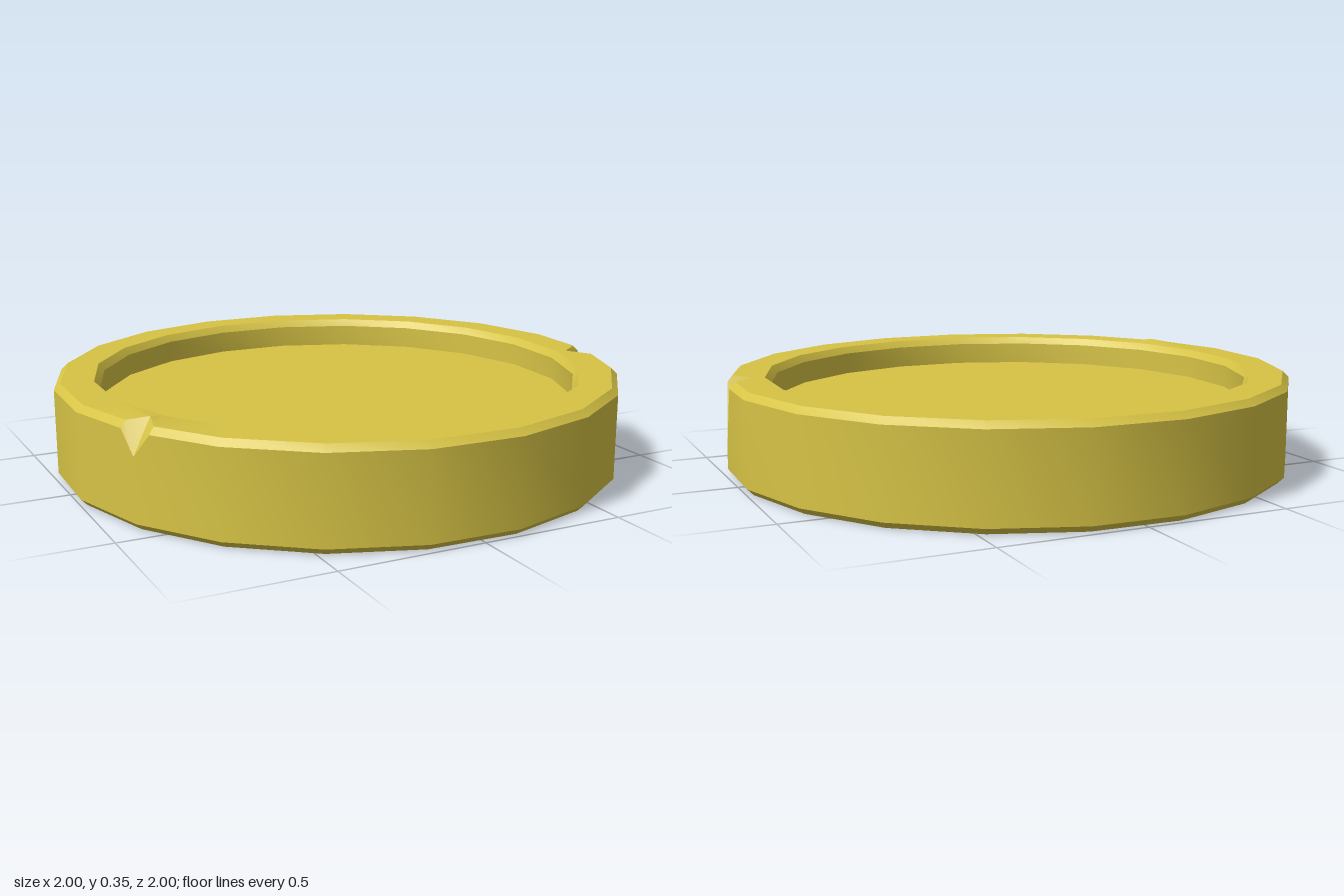
import * as THREE from 'three';
import { toCreasedNormals } from 'three/addons/utils/BufferGeometryUtils.js';

const SIDES = 20;
const START = THREE.MathUtils.degToRad(10.7);

// Cross-section [radius, height], from the bottom centre round the rim to the top centre
const PROFILE = [
  [0, 0.105], [0.85, 0.105], [0.85, 0.025], [0.87, 0], [0.985, 0],
  [1.007, 0.022], [1.007, 0.318], [0.985, 0.34],
  [0.87, 0.34], [0.85, 0.315], [0.85, 0.235], [0, 0.235],
];
const WALL_TOP = 6, RIM_EDGE = 7;

// Nicks cut into corners of the rim: half width, lowest point, innermost point
const NICKS = {
  5: { width: 0.25, tip: [1.007, 0.09], inner: [0.906, 0.34] },
  13: { width: 0.2, tip: [1.007, 0.24], inner: [0.93, 0.353] },
};

function corner(i, [r, y]) {
  const a = START + (i * 2 * Math.PI) / SIDES;
  return new THREE.Vector3(r * Math.sin(a), y, -r * Math.cos(a));
}

function regularColumn(i) {
  return PROFILE.map((p) => corner(i, p));
}

// Column beside a nick: its outer points slide along the flat side,
// the others meet the neighbouring corner
function sideColumn(i, dir, width) {
  return PROFILE.map((p, k) => (k === WALL_TOP || k === RIM_EDGE
    ? corner(i, p).lerp(corner(i + dir, p), width)
    : corner(i + dir, p)));
}

function coinGeometry() {
  const columns = [];
  for (let i = 0; i < SIDES; i++) {
    const nick = NICKS[i];
    const column = regularColumn(i);
    if (nick) {
      column[WALL_TOP] = corner(i, nick.tip);
      column[RIM_EDGE] = corner(i, nick.inner);
      columns.push(sideColumn(i, -1, nick.width), column, sideColumn(i, 1, nick.width));
    } else {
      columns.push(column);
    }
  }

  // Skin the columns, leaving out collapsed triangles
  const positions = [];
  const triangle = (a, b, c) => {
    const area = b.clone().sub(a).cross(c.clone().sub(a)).length();
    if (area > 1e-7) for (const p of [a, b, c]) positions.push(p.x, p.y, p.z);
  };
  columns.forEach((col, j) => {
    const next = columns[(j + 1) % columns.length];
    for (let k = 0; k < PROFILE.length - 1; k++) {
      triangle(col[k], col[k + 1], next[k + 1]);
      triangle(col[k], next[k + 1], next[k]);
    }
  });

  const geometry = new THREE.BufferGeometry();
  geometry.setAttribute('position', new THREE.Float32BufferAttribute(positions, 3));
  return toCreasedNormals(geometry, 0.45);
}

export function createModel() {
  const group = new THREE.Group();
  group.name = 'coin';
  const coin = new THREE.Mesh(
    coinGeometry(),
    new THREE.MeshStandardMaterial({ color: 0xd6c345 }),
  );
  coin.name = 'nickedCoin';
  group.add(coin);
  return group;
}
